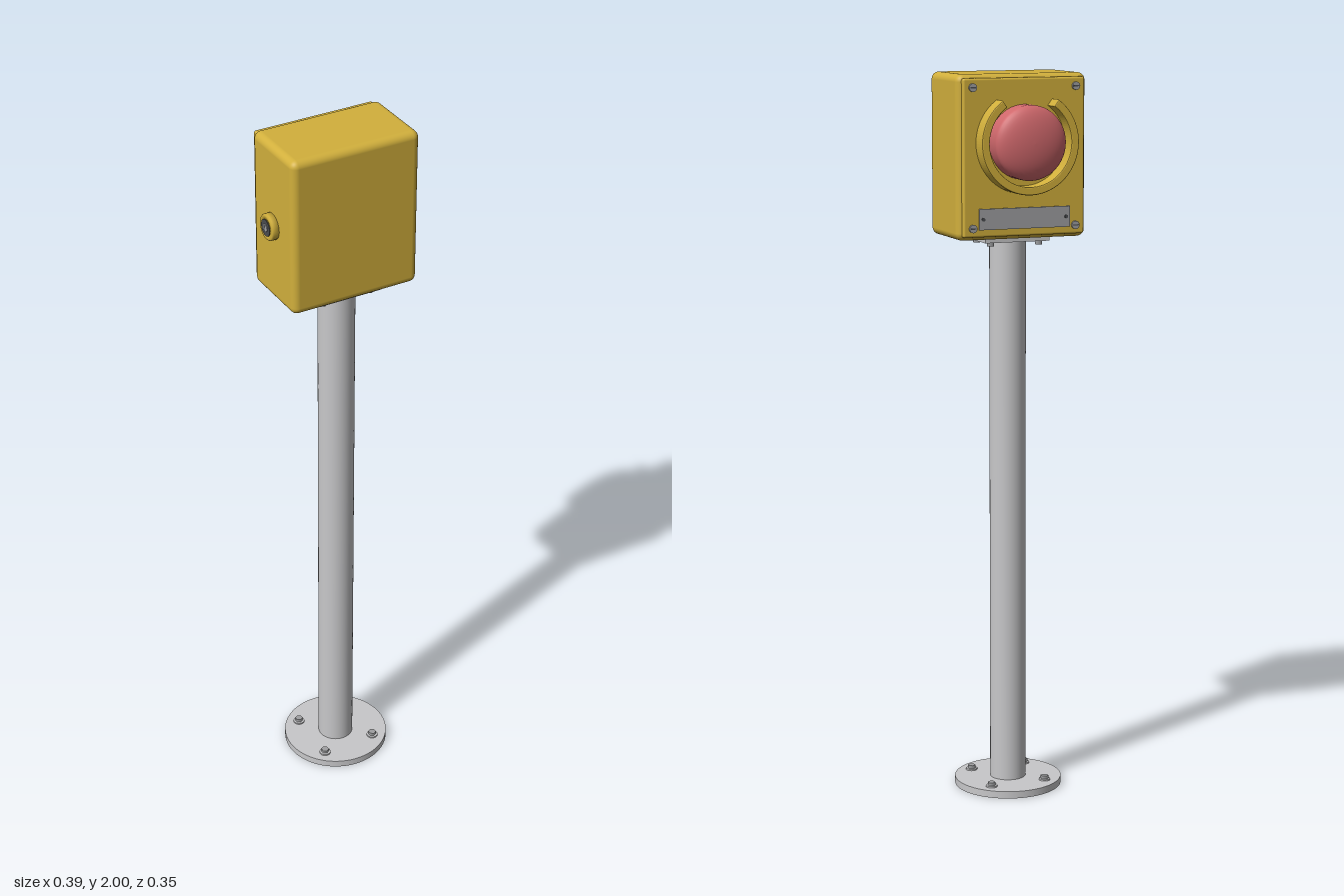
import * as THREE from 'three';
import { RoundedBoxGeometry } from 'three/addons/geometries/RoundedBoxGeometry.js';

const mat = (name, color) => new THREE.MeshStandardMaterial({ name, color });

export function createModel() {
  const yellow = mat('yellow paint', 0xd2b03c);
  const red = mat('red button', 0xd0686c);
  const steel = mat('steel', 0xc8c8ca);
  const grey = mat('grey metal', 0x9fa0a2);
  const dark = mat('dark metal', 0x4a4c50);

  const model = new THREE.Group();
  model.name = 'buttonPost';
  const CX = 0.01, CZ = 0.025; // post axis

  const add = (name, geometry, material, x, y, z) => {
    const mesh = new THREE.Mesh(geometry, material);
    mesh.name = name;
    mesh.position.set(x, y, z);
    model.add(mesh);
    return mesh;
  };
  const disc = (r, h, sides = 32) => new THREE.CylinderGeometry(r, r, h, sides);
  const corners = (dx, dy, place) => {
    for (const sx of [-1, 1]) for (const sy of [-1, 1]) place(sx * dx, sy * dy);
  };

  // Post with a round foot and its bolts
  add('baseDisc', disc(0.15, 0.02, 64), steel, CX, 0.01, CZ);
  add('post', disc(0.05, 1.53, 48), steel, CX, 0.782, CZ);
  corners(0.08, 0.08, (x, z) => {
    add('baseWasher', disc(0.016, 0.004), steel, CX + x, 0.022, CZ + z);
    add('baseBolt', disc(0.011, 0.012, 6), grey, CX + x, 0.027, CZ + z);
  });

  // Mounting plate under the housing
  add('mountPlate', new THREE.BoxGeometry(0.186, 0.013, 0.15), steel, CX, 1.5545, CZ);
  corners(0.07, 0.053, (x, z) =>
    add('mountBolt', disc(0.01, 0.012, 6), grey, CX + x, 1.543, CZ + z));

  // Housing and its rear lid
  add('housing', new RoundedBoxGeometry(0.37, 0.44, 0.215, 5, 0.02), yellow, CX, 1.78, 0.0225);
  add('lid', new RoundedBoxGeometry(0.347, 0.42, 0.018, 3, 0.006), yellow, CX, 1.78, -0.09);
  corners(0.147, 0.186, (x, y) => {
    add('lidScrew', disc(0.011, 0.008, 20).rotateX(Math.PI / 2), grey, CX + x, 1.78 + y, -0.101);
    add('screwSlot', new THREE.BoxGeometry(0.016, 0.003, 0.001), dark, CX + x, 1.78 + y, -0.1051);
  });

  // Guard ring, open at the top
  const gap = 0.635, start = Math.PI / 2 + gap, end = Math.PI * 2.5 - gap;
  const ring = new THREE.Shape();
  ring.absarc(0, 0, 0.135, start, end, false);
  ring.absarc(0, 0, 0.119, end, start, true);
  ring.closePath();
  add('guardRing', new THREE.ExtrudeGeometry(ring, {
    depth: 0.044, curveSegments: 48, bevelThickness: 0.003, bevelSize: 0.003, bevelSegments: 2,
  }), yellow, CX, 1.82, -0.144);

  // Domed push button
  const profile = [new THREE.Vector2(0.1, 0), new THREE.Vector2(0.1, 0.045)];
  for (let i = 1; i <= 12; i++) {
    const a = (i / 12) * Math.PI / 2;
    profile.push(new THREE.Vector2(Math.max(0, 0.1 * Math.cos(a)), 0.045 + 0.035 * Math.sin(a)));
  }
  add('button', new THREE.LatheGeometry(profile, 48).rotateX(-Math.PI / 2), red, CX, 1.82, -0.098);

  // Label plate with rivets
  add('labelPlate', new THREE.BoxGeometry(0.26, 0.056, 0.006), grey, CX, 1.618, -0.101);
  for (const s of [-1, 1])
    add('labelRivet', disc(0.005, 0.004, 12).rotateX(Math.PI / 2), dark, CX + s * 0.119, 1.618, -0.1045);

  // Key lock on the side
  const lock = [[0.024, 0], [0.036, 0], [0.036, 0.016], [0.033, 0.02], [0.023, 0.02], [0.023, 0.012]]
    .map(([r, h]) => new THREE.Vector2(r, h));
  const sideways = (g) => g.rotateZ(Math.PI / 2);
  add('lockCollar', sideways(new THREE.LatheGeometry(lock, 40)), yellow, -0.174, 1.775, 0.021);
  add('lockCore', sideways(disc(0.023, 0.022)), dark, -0.185, 1.775, 0.021);
  add('lockFace', sideways(disc(0.011, 0.002)), grey, -0.1965, 1.775, 0.021);
  add('keySlot', new THREE.BoxGeometry(0.001, 0.014, 0.004), dark, -0.1975, 1.775, 0.021);

  return model;
}
